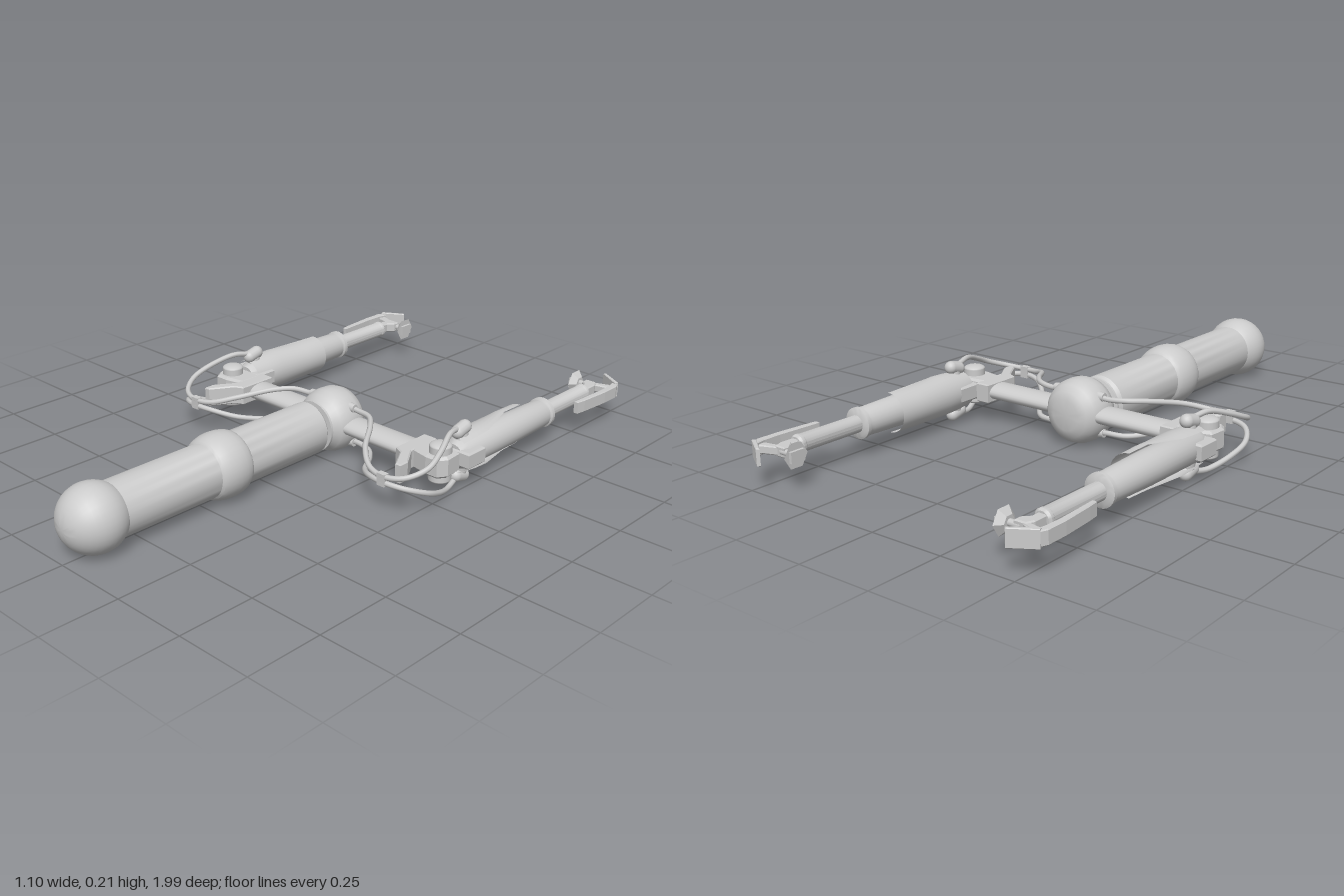
import * as THREE from 'three';
import { toCreasedNormals } from 'three/addons/utils/BufferGeometryUtils.js';

const CY = 0.112; // height of the main axis
const AX = 0.468; // forearm axis
const grey = new THREE.MeshStandardMaterial({ color: 0xcccccc });
const thin = new THREE.MeshStandardMaterial({ color: 0xcccccc, side: THREE.DoubleSide });

function add(parent, name, geo, x = 0, y = CY, z = 0, mat = grey) {
  const m = new THREE.Mesh(geo, mat);
  m.name = name;
  m.position.set(x, y, z);
  parent.add(m);
  return m;
}

// Solid of revolution around z; points are [radius, z] with z ascending
function turned(points, seg = 32) {
  const g = new THREE.LatheGeometry(points.map(([r, z]) => new THREE.Vector2(r, z)), seg);
  return toCreasedNormals(g.rotateX(Math.PI / 2), 0.6);
}

// Outline of [x, z] points seen from above, thickened in y about the axis
function plate(points, height, bevel = 0.004) {
  const s = new THREE.Shape(points.map(([x, z]) => new THREE.Vector2(x, -z)));
  const g = new THREE.ExtrudeGeometry(s, {
    depth: height - 2 * bevel, bevelEnabled: bevel > 0, bevelSize: bevel,
    bevelThickness: bevel, bevelOffset: -bevel, bevelSegments: 1,
  });
  g.translate(0, 0, -height / 2 + bevel);
  return g.rotateX(-Math.PI / 2);
}

function tube(points, r) {
  const c = new THREE.CatmullRomCurve3(points.map((p) => new THREE.Vector3(...p)));
  return new THREE.TubeGeometry(c, 64, r, 8);
}

// Half shell round the forearm whose upper and lower edges widen toward the elbow
function sleeveGeometry() {
  const rows = [[-0.475, 0.066, 1.58], [-0.39, 0.068, 1.6], [-0.26, 0.068, 2.15], [-0.2, 0.066, 2.2], [-0.14, 0.06, 2.2]];
  const n = 20, pos = [], idx = [];
  rows.forEach(([z, r, a]) => {
    for (let i = 0; i <= n; i++) {
      const t = Math.PI - a + (2 * a * i) / n;
      pos.push(r * Math.cos(t), r * Math.sin(t), z);
    }
  });
  for (let j = 0; j < rows.length - 1; j++) {
    for (let i = 0; i < n; i++) {
      const a = j * (n + 1) + i, b = a + n + 1;
      idx.push(a, a + 1, b, a + 1, b + 1, b);
    }
  }
  const g = new THREE.BufferGeometry();
  g.setAttribute('position', new THREE.Float32BufferAttribute(pos, 3));
  g.setIndex(idx);
  g.computeVertexNormals();
  return g;
}

function createBody() {
  const body = new THREE.Group();
  body.name = 'body';
  // Long trunk with its rounded middle bulge
  add(body, 'trunk', turned([
    [0, 0.015], [0.075, 0.015], [0.087, 0.028], [0.087, 0.352], [0.094, 0.358], [0.1, 0.37], [0.105, 0.39],
    [0.107, 0.415], [0.105, 0.44], [0.1, 0.46], [0.094, 0.472], [0.087, 0.478], [0.087, 0.85],
  ]));
  const cap = [[0.087, 0.825]];
  for (let i = 0; i <= 12; i++) {
    const a = -0.55 + (i / 12) * (Math.PI / 2 + 0.55);
    cap.push([Math.max(0, 0.107 * Math.cos(a)), 0.887 + 0.107 * Math.sin(a)]);
  }
  add(body, 'endBall', turned(cap));
  // Rounded shoulder hub and its neck
  add(body, 'shoulderHub', turned([
    [0, -0.165], [0.05, -0.164], [0.077, -0.155], [0.095, -0.135], [0.105, -0.11], [0.107, -0.08],
    [0.105, -0.055], [0.095, -0.03], [0.075, -0.013], [0.07, -0.005], [0.085, 0.0], [0.085, 0.008], [0.06, 0.01], [0.06, 0.02],
  ]));
  // Oval crossbar
  const bar = new THREE.CylinderGeometry(0.05, 0.05, 0.8, 24).rotateZ(Math.PI / 2).scale(1, 0.55, 1);
  add(body, 'crossbar', bar, 0, CY, -0.084);
  return body;
}

function createHand() {
  const hand = new THREE.Group();
  hand.name = 'hand';
  add(hand, 'wrist', plate([
    [0.455, -0.84], [0.455, -0.88], [0.435, -0.9], [0.435, -0.925], [0.475, -0.925], [0.485, -0.9], [0.485, -0.84]], 0.035));
  // Inner gripper pad on a short pin
  const pin = add(hand, 'gripperPin', new THREE.CylinderGeometry(0.011, 0.011, 0.06, 10), 0.425, CY, -0.916);
  pin.rotation.z = Math.PI / 2;
  const pad = add(hand, 'gripperPad', toCreasedNormals(new THREE.CylinderGeometry(0.022, 0.043, 0.02, 6), 0.3), 0.405, CY, -0.916);
  pad.rotation.z = -Math.PI / 2;
  add(hand, 'gripperFace', new THREE.BoxGeometry(0.012, 0.035, 0.05), 0.391, CY, -0.916);
  // Cross link, end fin and long outer claw
  add(hand, 'clawLink', plate([
    [0.44, -0.915], [0.53, -0.95], [0.54, -0.935], [0.54, -0.92], [0.46, -0.905]], 0.028));
  add(hand, 'endFin', plate([
    [0.462, -0.99], [0.47, -0.998], [0.545, -0.953], [0.538, -0.941]], 0.055, 0.002));
  add(hand, 'claw', plate([
    [0.522, -0.95], [0.543, -0.952], [0.552, -0.93], [0.552, -0.86], [0.543, -0.75],
    [0.538, -0.715], [0.523, -0.715], [0.525, -0.75], [0.531, -0.86], [0.529, -0.92]], 0.045, 0.003));
  return hand;
}

function createArm(name) {
  const arm = new THREE.Group();
  arm.name = name;
  // Bracket at the crossbar end with a slanted cable guide
  add(arm, 'barBracket', plate([
    [0.345, -0.142], [0.395, -0.142], [0.395, -0.02], [0.44, 0.05], [0.44, 0.085], [0.42, 0.085], [0.375, 0.01], [0.345, -0.005]], 0.066));
  add(arm, 'elbowLink', plate([
    [0.38, -0.12], [0.45, -0.125], [0.51, -0.11], [0.515, -0.05], [0.495, -0.02], [0.45, -0.02], [0.38, -0.035]], 0.07, 0.008));
  // Elbow hinge, mirrored above and below
  add(arm, 'elbowHinge', new THREE.CylinderGeometry(0.036, 0.036, 0.11, 20), AX, CY, -0.07);
  for (const s of [1, -1]) {
    const dome = add(arm, 'hingeCap', new THREE.SphereGeometry(0.036, 20, 8, 0, Math.PI * 2, 0, Math.PI / 2), AX, CY + s * 0.055, -0.07);
    dome.scale.y = 0.35;
    if (s < 0) dome.rotation.x = Math.PI;
    const plug = add(arm, 'cablePlug', new THREE.CapsuleGeometry(0.022, 0.035, 6, 14), AX, CY + s * 0.078, -0.168);
    plug.rotation.x = Math.PI / 2 + s * 0.25;
    const foot = add(arm, 'plugFoot', new THREE.CylinderGeometry(0.019, 0.026, 0.05, 14), AX, CY + s * 0.052, -0.172);
    if (s < 0) foot.rotation.x = Math.PI;
    // Cable from the hub, round the guide and back to the forearm
    const path = [
      [0.05, 0.07, -0.085], [0.1, 0.057, -0.09], [0.17, 0.058, -0.075], [0.22, 0.054, -0.025], [0.29, 0.035, 0.075],
      [0.36, 0.014, 0.13], [0.43, 0.01, 0.143], [0.49, 0.018, 0.12], [0.525, 0.04, 0.06], [0.515, 0.068, -0.01],
      [0.485, 0.092, -0.09], [AX, 0.085, -0.15],
    ].map(([x, y, z]) => [x, s * y, z]);
    add(arm, 'cable', tube(path, 0.009));
    const port = add(arm, 'hubPort', new THREE.CylinderGeometry(0.014, 0.018, 0.04, 12), 0.078, CY + s * 0.06, -0.088);
    port.rotation.z = -Math.PI / 2;
  }
  add(arm, 'cableClip', new THREE.BoxGeometry(0.03, 0.04, 0.02), 0.42, CY, 0.142);
  // Collar block, forearm, sleeve and piston
  add(arm, 'forearmBlock', plate([
    [0.402, -0.208], [0.536, -0.208], [0.536, -0.125], [0.402, -0.125]], 0.055, 0.006));
  add(arm, 'forearm', turned([
    [0, -0.615], [0.042, -0.615], [0.051, -0.61], [0.051, -0.598], [0.045, -0.594], [0.045, -0.588],
    [0.047, -0.58], [0.052, -0.4], [0.052, -0.16], [0.04, -0.13], [0, -0.13],
  ], 24), AX);
  add(arm, 'forearmSleeve', sleeveGeometry(), AX, CY, 0, thin);
  add(arm, 'piston', turned([
    [0, -0.855], [0.024, -0.855], [0.03, -0.848], [0.03, -0.838], [0.028, -0.835], [0.028, -0.6],
  ], 20), AX);
  arm.add(createHand());
  return arm;
}

export function createModel() {
  const model = new THREE.Group();
  model.name = 'twoArmedManipulator';
  const right = createArm('rightArm');
  right.scale.x = -1;
  model.add(createBody(), createArm('leftArm'), right);
  return model;
}
